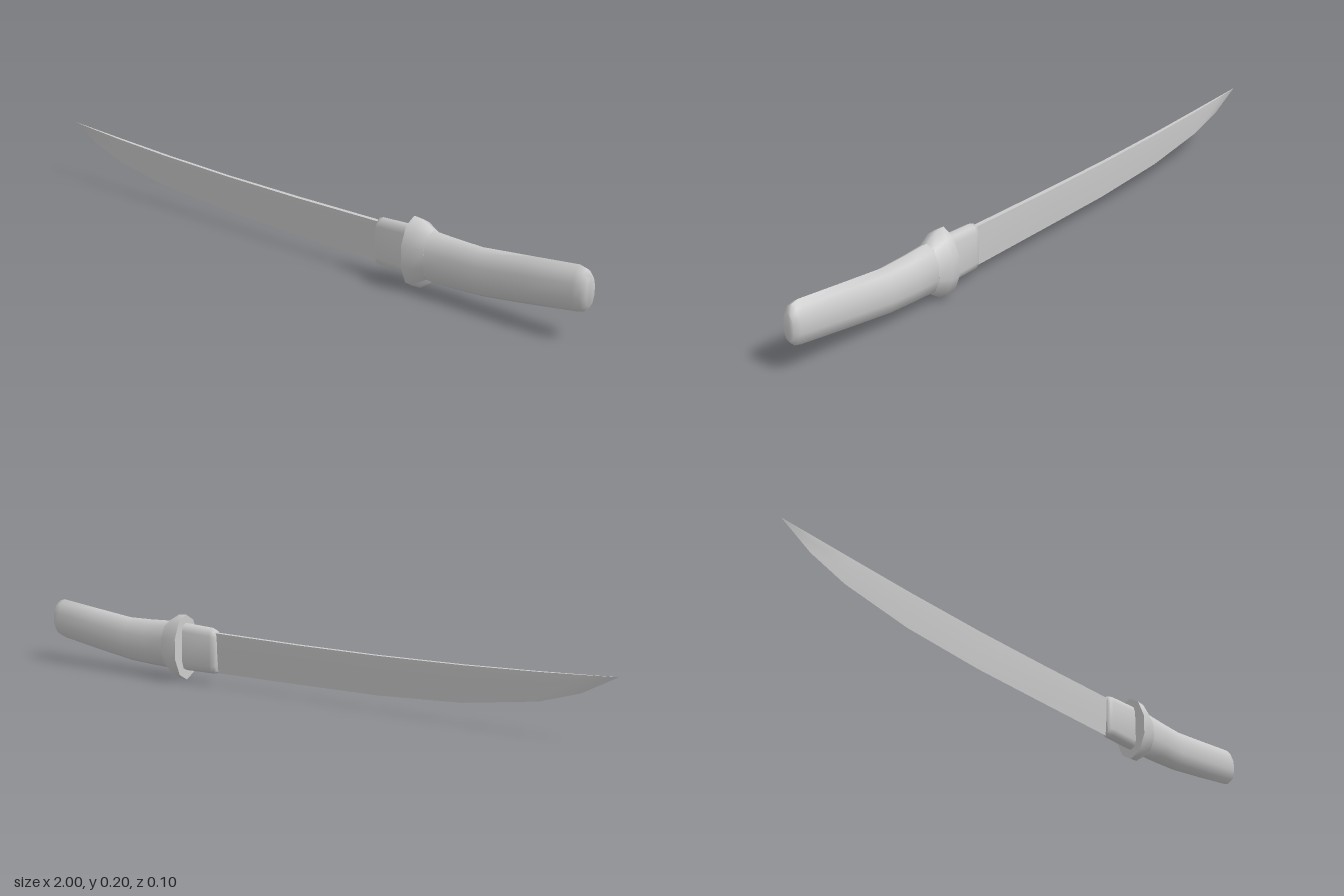
import * as THREE from 'three';
import { toCreasedNormals } from 'three/addons/utils/BufferGeometryUtils.js';

// Cross-section outlines as [height, depth] in the range -1..1, turning from +y to +z
const oval = Array.from({ length: 10 }, (_, i) => {
  const a = (i / 10) * Math.PI * 2;
  return [Math.cos(a), Math.sin(a)];
});
const softBox = [
  [1, 0], [0.9, 0.7], [0.65, 1], [-0.65, 1], [-0.9, 0.7],
  [-1, 0], [-0.9, -0.7], [-0.65, -1], [0.65, -1], [0.9, -0.7],
];
const wedge = [[1, 0], [0.97, 1], [0.2, 0.85], [-1, 0], [0.2, -0.85], [0.97, -1]];

// Skins an outline along x through stations of [x, bottom, top, half depth], with closed ends
function loft(name, outline, stations, crease, material) {
  const n = outline.length;
  const positions = [];
  const index = [];
  for (const [x, bottom, top, depth] of stations) {
    for (const [h, d] of outline) {
      positions.push(x, (bottom + top) / 2 + (h * (top - bottom)) / 2, d * depth);
    }
  }
  for (let i = 0; i < stations.length - 1; i++) {
    for (let j = 0; j < n; j++) {
      const k = (j + 1) % n;
      const a = i * n + j, b = i * n + k, c = b + n, d = a + n;
      index.push(a, b, d, b, c, d);
    }
  }
  const last = (stations.length - 1) * n;
  for (let j = 1; j < n - 1; j++) {
    index.push(0, j + 1, j, last, last + j, last + j + 1);
  }
  const geometry = new THREE.BufferGeometry();
  geometry.setAttribute('position', new THREE.Float32BufferAttribute(positions, 3));
  geometry.setIndex(index);
  const mesh = new THREE.Mesh(toCreasedNormals(geometry, crease), material);
  mesh.name = name;
  return mesh;
}

export function createModel() {
  const group = new THREE.Group();
  group.name = 'curvedSword';
  const grey = new THREE.MeshStandardMaterial({ color: 0xcccccc });

  // Curved single-edged blade: thick spine above, sharp edge below, tapering to a point
  group.add(loft('blade', wedge, [
    [-1, 0.186, 0.187, 0.0005],
    [-0.9, 0.133, 0.182, 0.003],
    [-0.78, 0.096, 0.176, 0.005],
    [-0.55, 0.062, 0.167, 0.006],
    [-0.27, 0.046, 0.161, 0.006],
    [0, 0.042, 0.16, 0.007],
    [0.35, 0.038, 0.163, 0.007],
  ], 0.7, grey));

  // Collar that holds the blade root, rounded at its open end
  group.add(loft('collar', softBox, [
    [0.31, 0.04, 0.157, 0.011],
    [0.317, 0.036, 0.17, 0.017],
    [0.33, 0.035, 0.175, 0.02],
    [0.45, 0.033, 0.18, 0.02],
  ], 1.1, grey));

  // Oval guard flaring out of the grip
  group.add(loft('guard', oval, [
    [0.438, 0.003, 0.205, 0.055],
    [0.465, 0.005, 0.203, 0.055],
    [0.505, 0.032, 0.18, 0.043],
  ], 1.1, grey));

  // Bent grip with a rounded butt
  group.add(loft('grip', oval, [
    [0.5, 0.032, 0.18, 0.043],
    [0.58, 0.034, 0.176, 0.04],
    [0.67, 0.038, 0.174, 0.037],
    [0.82, 0.058, 0.189, 0.034],
    [0.965, 0.079, 0.204, 0.031],
    [0.985, 0.085, 0.199, 0.028],
    [1, 0.1, 0.182, 0.019],
  ], 1.1, grey));

  return group;
}
